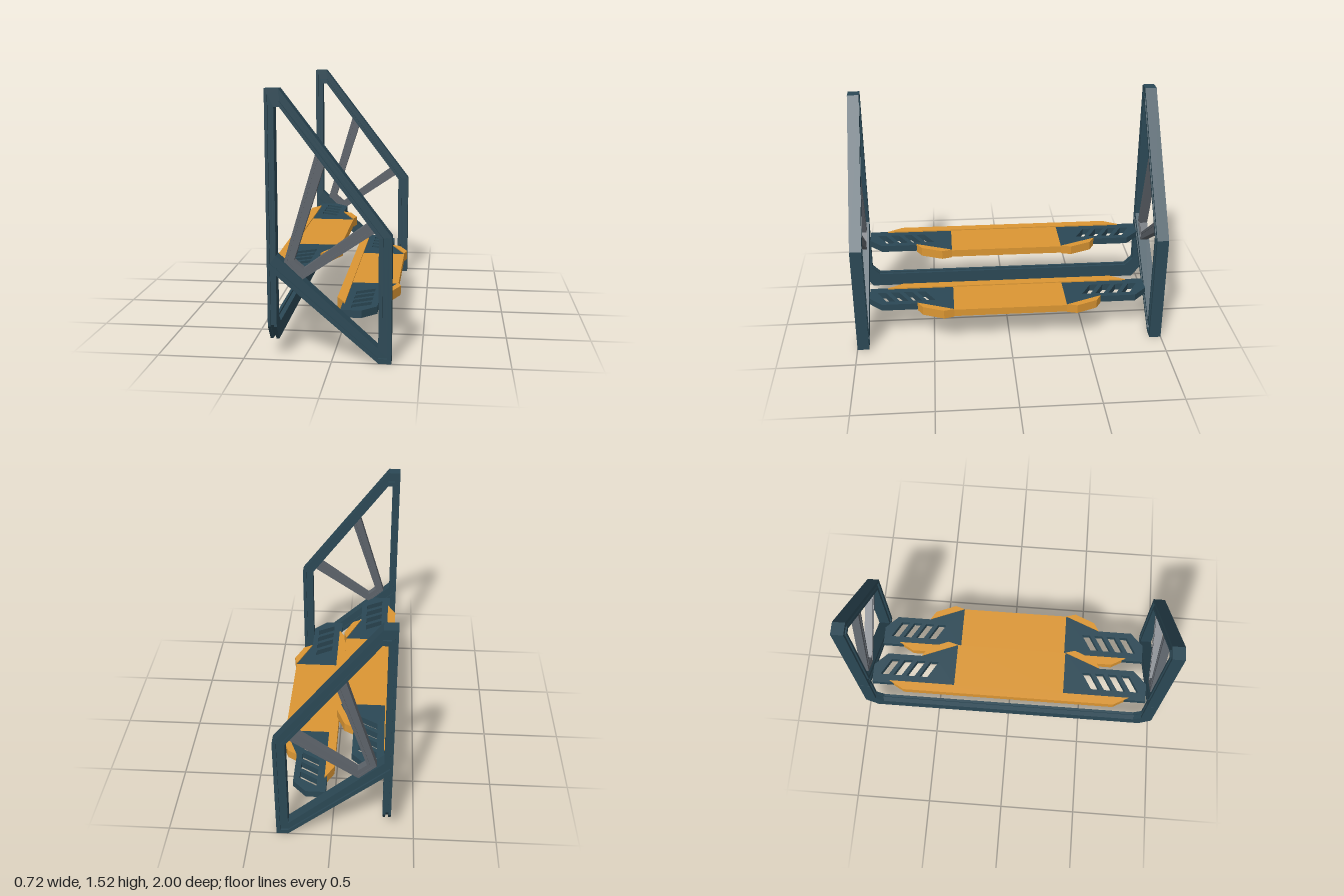
import * as THREE from 'three';

const steel = new THREE.MeshStandardMaterial({ color: 0x2b4855 });
steel.name = 'dark teal steel';
const orange = new THREE.MeshStandardMaterial({ color: 0xdb9633 });
orange.name = 'orange';
const grey = new THREE.MeshStandardMaterial({ color: 0x5d636a });
grey.name = 'brace grey';

const toVec = (pts) => pts.map(([x, y]) => new THREE.Vector2(x, y));

// Band between two matching outlines, from fraction t0 to t1 of its width
function band(outer, inner, t0, t1, closed) {
  const at = (t) => outer.map(([x, y], i) => [x + (inner[i][0] - x) * t, y + (inner[i][1] - y) * t]);
  if (!closed) return new THREE.Shape(toVec([...at(t0), ...at(t1).reverse()]));
  const shape = new THREE.Shape(toVec(at(t0)));
  // Holes run against the outline so that their walls face into the opening
  shape.holes.push(new THREE.Path(toVec(at(t1)).reverse()));
  return shape;
}

// Extrusion along z from z0 to z1
function slab(shape, z0, z1) {
  return new THREE.ExtrudeGeometry(shape, { depth: z1 - z0, bevelEnabled: false }).translate(0, 0, z0);
}

// Flat plate drawn in x and z, filling y0 to y1
function plate(pts, y0, y1, holes = []) {
  const flip = (list) => toVec(list.map(([x, z]) => [x, -z]));
  const shape = new THREE.Shape(flip(pts));
  holes.forEach((h) => shape.holes.push(new THREE.Path(flip(h).reverse())));
  return slab(shape, y0, y1).rotateX(-Math.PI / 2);
}

function add(group, name, geometry, material) {
  const mesh = new THREE.Mesh(geometry, material);
  mesh.name = name;
  group.add(mesh);
}

// Beam with a recessed channel on both faces
function channelBeam(group, name, outer, inner, closed, z0, z1, recess, material) {
  const cuts = [0, 0.32, 0.68, 1];
  for (let i = 0; i < 3; i++) {
    const d = i === 1 ? recess : 0;
    add(group, name, slab(band(outer, inner, cuts[i], cuts[i + 1], closed), z0 + d, z1 - d), material);
  }
}

function sideFrame(side) {
  const g = new THREE.Group();
  g.name = side > 0 ? 'frontSideFrame' : 'rearSideFrame';
  const z0 = side > 0 ? 0.925 : -1;
  channelBeam(g, 'frameBeam',
    [[-0.358, 1.525], [-0.28, 1.525], [0.336, 0.722], [0.336, 0], [0.265, 0], [-0.358, 0.535]],
    [[-0.307, 1.425], [-0.276, 1.425], [0.263, 0.714], [0.263, 0.088], [0.258, 0.092], [-0.307, 0.605]],
    true, z0, z0 + 0.075, 0.012, steel);
  channelBeam(g, 'diagonalBrace',
    [[-0.08, 1.19], [-0.264, 0.569], [-0.16, 0.472], [0.25, 0.75]],
    [[-0.03, 1.13], [-0.208, 0.577], [-0.155, 0.532], [0.2, 0.795]],
    false, z0 + 0.012, z0 + 0.063, 0.004, grey);
  return g;
}

// U-shaped back support, grooved around its inner and outer edges
function backSupport() {
  const g = new THREE.Group();
  g.name = 'backSupport';
  const half = [[1, 0.53], [1, 0.195], [0.925, 0.1]];
  const halfIn = [[0.925, 0.53], [0.925, 0.24], [0.875, 0.19]];
  const mirror = (pts) => [...pts, ...pts.slice().reverse().map(([x, y]) => [-x, y])];
  const layers = [[-0.358, -0.342, 0], [-0.342, -0.324, 0.15], [-0.324, -0.307, 0]];
  layers.forEach(([x0, x1, t]) => {
    const geo = slab(band(mirror(half), mirror(halfIn), t, 1 - t, false), x0, x1);
    // Maps shape x to -z and depth to x
    add(g, 'supportLayer', geo.rotateY(Math.PI / 2), steel);
  });
  return g;
}

function platform() {
  const g = new THREE.Group();
  add(g, 'deck', plate([[-0.305, -0.365], [-0.018, -0.365], [-0.018, 0.365], [-0.305, 0.365]], 0.471, 0.519), orange);
  add(g, 'backRail', plate([[-0.358, -0.7], [-0.303, -0.8], [-0.303, 0.8], [-0.358, 0.7]], 0.465, 0.526), orange);
  for (const s of [-1, 1]) {
    const m = (pts) => pts.map(([x, z]) => [x, z * s]);
    // Four slanted slots
    const slots = [0, 1, 2, 3].map((i) => {
      const z = 0.55 + 0.087 * i;
      return m([[-0.26, z], [-0.15, z - 0.066], [-0.15, z - 0.01], [-0.26, z + 0.054]]);
    });
    add(g, 'slottedEnd', plate(m([[-0.305, 0.365], [-0.018, 0.365], [-0.113, 0.6], [-0.113, 0.83],
      [-0.197, 0.915], [-0.318, 0.915], [-0.318, 0.75], [-0.305, 0.75]]), 0.474, 0.518, slots), steel);
    add(g, 'sideWing', plate(m([[-0.018, 0.365], [0, 0.43], [-0.055, 0.565], [-0.113, 0.6]]), 0.467, 0.525), orange);
  }
  return g;
}

export function createModel() {
  const model = new THREE.Group();
  model.name = 'steppedRack';
  model.add(sideFrame(1), sideFrame(-1), backSupport());

  const upper = platform();
  upper.name = 'upperPlatform';
  const lower = platform();
  lower.name = 'lowerPlatform';
  lower.position.set(0.357, -0.239, 0);
  model.add(upper, lower);
  return model;
}
